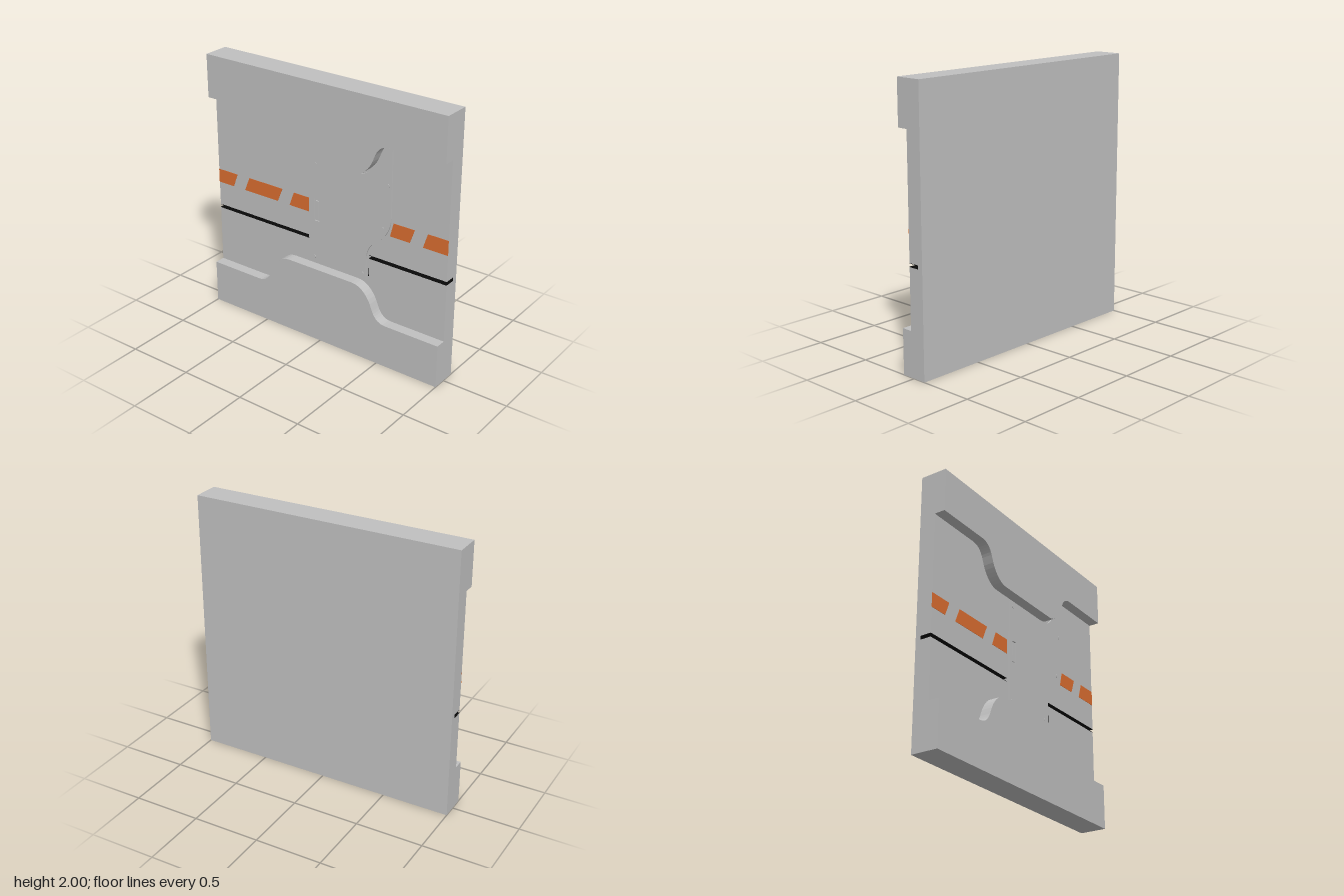
import * as THREE from 'three';

const mat = (name, color) => Object.assign(new THREE.MeshStandardMaterial({ color }), { name });

export function createModel() {
  const group = new THREE.Group();
  const grey = mat('panelGrey', 0xc0c0c0);
  const orange = mat('stripeOrange', 0xdb6e31);
  const black = mat('grooveBlack', 0x080808);
  const FACE = 0.02; // recessed wall face

  const add = (name, geometry, material) => {
    const mesh = new THREE.Mesh(geometry, material);
    mesh.name = name;
    group.add(mesh);
    return mesh;
  };
  const box = (name, material, x0, x1, y0, y1, z0, z1) =>
    add(name, new THREE.BoxGeometry(x1 - x0, y1 - y0, z1 - z0), material)
      .position.set((x0 + x1) / 2, (y0 + y1) / 2, (z0 + z1) / 2);
  const extrude = (name, material, shape, z0, z1) =>
    add(name, new THREE.ExtrudeGeometry(shape, { depth: z1 - z0, bevelEnabled: false, curveSegments: 8 }), material)
      .position.z = z0;
  const polygon = (points) => new THREE.Shape(points.map(([x, y]) => new THREE.Vector2(x, y)));

  // Back slab, and a front layer notched by a groove from each side
  const G0 = 0.768, G1 = 0.795, GL = -0.155, GR = 0.37, FLOOR = -0.06;
  box('backSlab', grey, -1, 1, 0, 2, -0.1, FLOOR);
  extrude('recessedWall', grey, polygon([
    [-1, 0], [1, 0], [1, G0], [GR, G0], [GR, G1], [1, G1],
    [1, 2], [-1, 2], [-1, G1], [GL, G1], [GL, G0], [-1, G0],
  ]), FLOOR, FACE);

  // Black lining inside the grooves
  for (const [x0, x1] of [[-1, GL], [GR, 1]]) {
    box('grooveFloor', black, x0, x1, G0, G1, FLOOR, FLOOR + 0.003);
    box('grooveLower', black, x0, x1, G0, G0 + 0.003, FLOOR, FACE + 0.001);
    box('grooveUpper', black, x0, x1, G1 - 0.003, G1, FLOOR, FACE + 0.001);
  }
  box('scratchMark', black, 0.367, 0.373, 0.63, 0.695, FACE, FACE + 0.002);

  // Raised upper and lower borders, mirrored about the middle
  for (const upper of [true, false]) {
    const Y = (y) => (upper ? y : 2.005 - y);
    const edge = upper ? 2 : 0;
    const s = new THREE.Shape();
    s.moveTo(-1, edge);
    s.lineTo(-1, Y(1.675));
    s.lineTo(-0.57, Y(1.675));
    s.bezierCurveTo(-0.5, Y(1.675), -0.47, Y(1.63), -0.45, Y(1.575));
    s.bezierCurveTo(-0.42, Y(1.49), -0.36, Y(1.422), -0.28, Y(1.422));
    s.lineTo(0.28, Y(1.422));
    s.bezierCurveTo(0.36, Y(1.422), 0.42, Y(1.49), 0.45, Y(1.575));
    s.bezierCurveTo(0.47, Y(1.63), 0.5, Y(1.675), 0.57, Y(1.675));
    s.lineTo(1, Y(1.675));
    s.lineTo(1, edge);
    extrude(upper ? 'upperBorder' : 'lowerBorder', grey, s, FACE, 0.1);
  }

  // Access panel with a slot cut through it
  const p = new THREE.Shape();
  p.moveTo(-0.13, 0.605);
  p.lineTo(-0.13, 1.4);
  p.lineTo(0.28, 1.4);
  p.bezierCurveTo(0.37, 1.4, 0.43, 1.48, 0.46, 1.56);
  p.bezierCurveTo(0.48, 1.61, 0.51, 1.64, 0.55, 1.645);
  p.lineTo(0.55, 1.13);
  p.bezierCurveTo(0.55, 1.05, 0.51, 0.98, 0.45, 0.93);
  p.bezierCurveTo(0.39, 0.89, 0.35, 0.84, 0.35, 0.76);
  p.lineTo(0.35, 0.59);
  p.quadraticCurveTo(0.33, 0.605, 0.29, 0.605);
  p.holes.push(new THREE.Path([[-0.1, 0.93], [-0.055, 0.93], [-0.055, 1.1], [-0.1, 1.1]]
    .map(([x, y]) => new THREE.Vector2(x, y))));
  const TOP = FACE + 0.01;
  extrude('accessPanel', grey, p, FACE, TOP);
  box('slotHandle', grey, -0.09, -0.065, 0.945, 1.085, FACE, TOP - 0.003);

  // Panel screws
  for (const [x, y] of [[-0.09, 1.37], [0.52, 1.37], [0.48, 1.04], [-0.1, 0.64], [0.32, 0.64]]) {
    const screw = add('panelScrew', new THREE.CylinderGeometry(0.013, 0.013, 0.004, 12), grey);
    screw.rotation.x = Math.PI / 2;
    screw.position.set(x, y, TOP + 0.001);
  }

  // Slanted stripe dashes: bottom left, bottom right, top right, top left, low and high edge
  for (const [bl, br, tr, tl, y0, y1] of [
    [-1, -0.86, -0.82, -1, 0.98, 1.085],
    [-0.75, -0.44, -0.395, -0.705, 0.98, 1.088],
    [-0.33, -0.155, -0.155, -0.29, 0.98, 1.088],
    [0.54, 0.7, 0.737, 0.567, 0.995, 1.1],
    [0.805, 1, 1, 0.84, 0.992, 1.103],
  ]) extrude('stripeDash', orange, polygon([[bl, y0], [br, y0], [tr, y1], [tl, y1]]), FACE, FACE + 0.002);

  return group;
}
